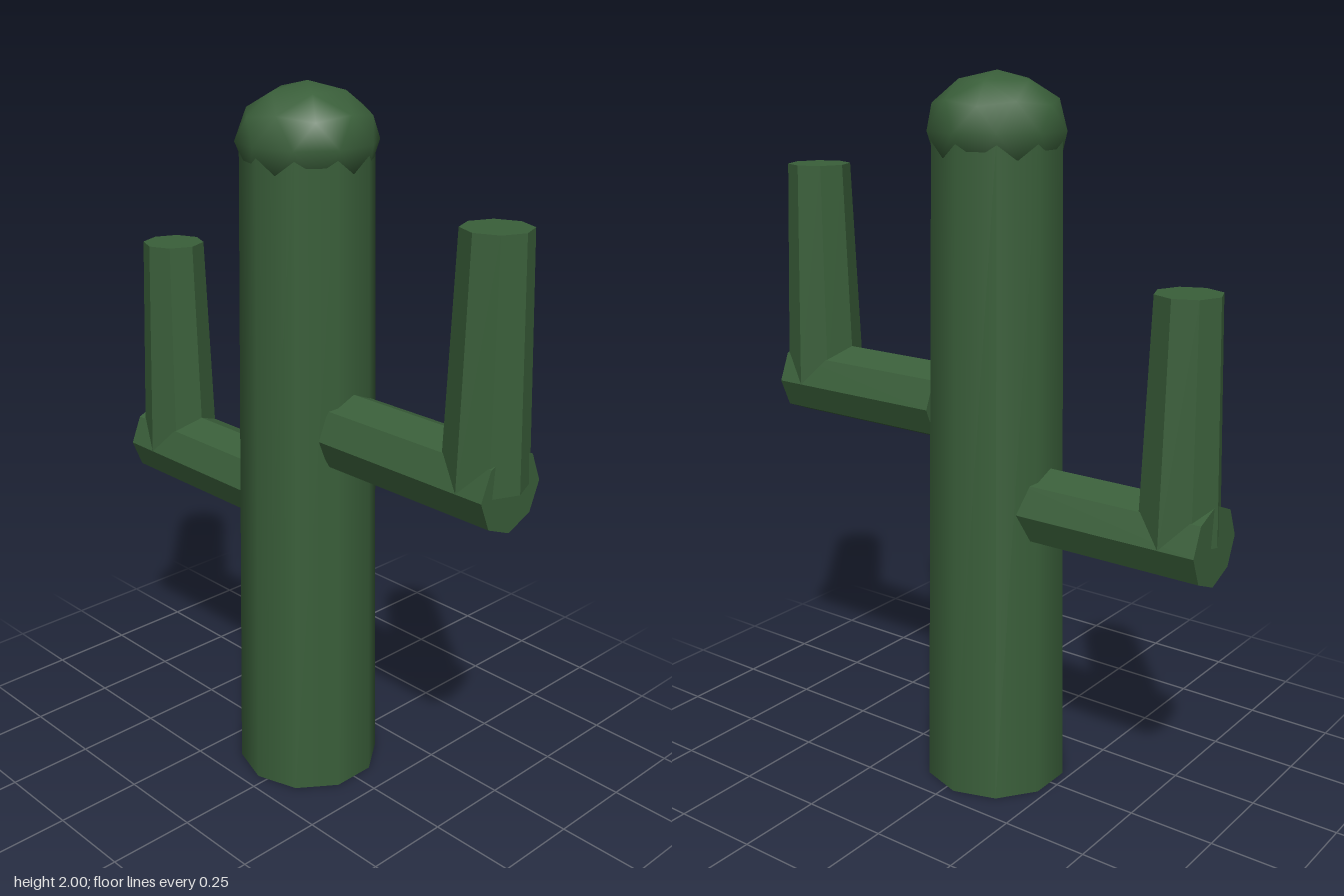
import * as THREE from 'three';

const GREEN = 0x3a5f3a;
const TRUNK_X = -0.03;

export function createModel() {
  const group = new THREE.Group();
  const smooth = new THREE.MeshStandardMaterial({ color: GREEN });
  const faceted = new THREE.MeshStandardMaterial({ color: GREEN, flatShading: true });

  const add = (parent, name, geometry, material, x, y) => {
    const mesh = new THREE.Mesh(geometry, material);
    mesh.name = name;
    mesh.position.set(x, y, 0);
    parent.add(mesh);
    return mesh;
  };

  // Ten-sided, slightly tapered trunk with smooth sides
  const trunkHeight = 1.85;
  add(group, 'trunk', new THREE.CylinderGeometry(0.178, 0.206, trunkHeight, 10),
    smooth, TRUNK_X, trunkHeight / 2);

  // Squashed icosphere cap, turned so that one vertex points straight up
  const cap = new THREE.IcosahedronGeometry(1, 1);
  cap.rotateZ(Math.atan2(1, (1 + Math.sqrt(5)) / 2));
  cap.scale(0.19, 0.15, 0.19);
  add(group, 'cap', cap, smooth, TRUNK_X, 1.85);

  // Elbowed arms: a horizontal branch and a tapered upright, both octagonal
  const addArm = (name, branchX, uprightX, y) => {
    const arm = new THREE.Group();
    arm.name = name;
    const branch = new THREE.CylinderGeometry(0.111, 0.111, 0.56, 8).rotateZ(Math.PI / 2);
    add(arm, 'branch', branch, faceted, branchX, y);
    add(arm, 'upright', new THREE.CylinderGeometry(0.089, 0.111, 0.638, 8),
      faceted, uprightX, y + 0.319);
    group.add(arm);
  };
  addArm('leftArm', 0.41, 0.608, 1.088);
  addArm('rightArm', -0.435, -0.612, 0.846);

  return group;
}
